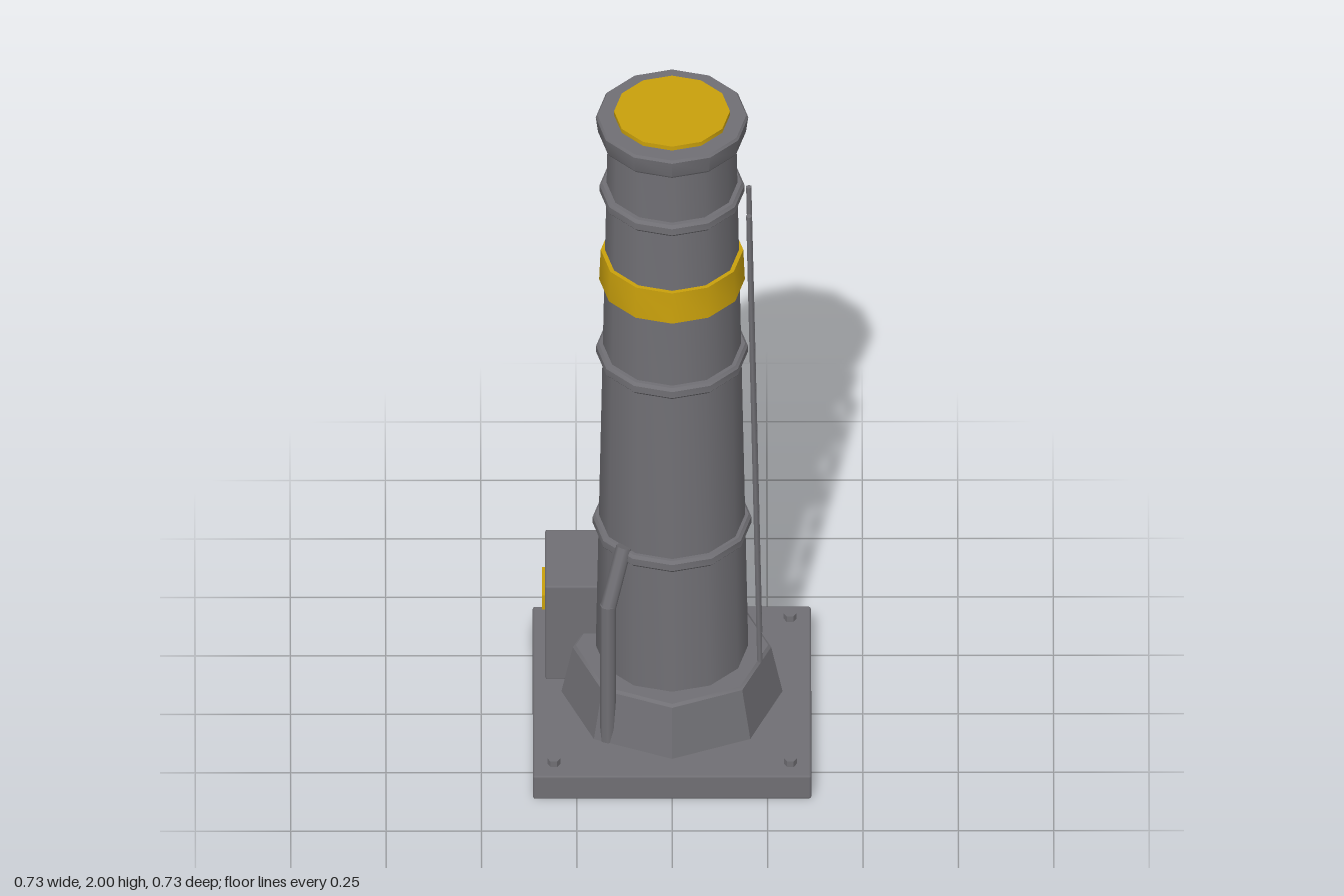
import * as THREE from 'three';
import { toCreasedNormals } from 'three/addons/utils/BufferGeometryUtils.js';
import { RoundedBoxGeometry } from 'three/addons/geometries/RoundedBoxGeometry.js';

export function createModel() {
  const model = new THREE.Group();
  model.name = 'chimneyTower';
  const steel = new THREE.MeshStandardMaterial({ name: 'steel grey', color: 0x706f74 });
  const yellow = new THREE.MeshStandardMaterial({ name: 'warning yellow', color: 0xc9a00c });

  const add = (name, geometry, material, x = 0, y = 0, z = 0, parent = model) => {
    const mesh = new THREE.Mesh(geometry, material);
    mesh.name = name;
    mesh.position.set(x, y, z);
    parent.add(mesh);
    return mesh;
  };
  // Turned solid from [radius, height] pairs; sharp edges stay sharp
  const turned = (name, profile, sides, material) => {
    const points = profile.map(([r, y]) => new THREE.Vector2(r, y));
    return add(name, toCreasedNormals(new THREE.LatheGeometry(points, sides), 0.6), material);
  };
  // Round bar between two points
  const bar = (name, a, b, radius, sides, parent) => {
    const from = new THREE.Vector3(...a), to = new THREE.Vector3(...b);
    const dir = to.clone().sub(from);
    const mesh = add(name, new THREE.CylinderGeometry(radius, radius, dir.length(), sides), steel, 0, 0, 0, parent);
    mesh.position.copy(from).add(to).multiplyScalar(0.5);
    mesh.quaternion.setFromUnitVectors(new THREE.Vector3(0, 1, 0), dir.normalize());
    return mesh;
  };

  // Base plate and anchor bolts
  add('basePlate', new RoundedBoxGeometry(0.73, 0.076, 0.73, 1, 0.006), steel, 0, 0.038, 0);
  for (const x of [-0.31, 0.31]) for (const z of [-0.31, 0.31]) {
    const bolt = add('anchorBolt', toCreasedNormals(new THREE.CylinderGeometry(0.017, 0.017, 0.022, 6), 0.6), steel, x, 0.083, z);
    bolt.rotation.y = Math.PI / 2;
  }

  // Octagonal plinth
  turned('plinth', [[0, 0.075], [0.29, 0.075], [0.26, 0.222], [0.252, 0.229], [0, 0.229]], 8, steel);

  // Tapered shaft with reinforcing rings
  turned('shaft', [[0.2, 0.22], [0.168, 1.95]], 12, steel);
  for (const [y, r] of [[0.645, 0.208], [1.212, 0.199], [1.745, 0.19]]) {
    turned('reinforcingRing', [[r - 0.03, y - 0.018], [r - 0.007, y - 0.018], [r, y - 0.01],
      [r, y + 0.01], [r - 0.007, y + 0.018], [r - 0.03, y + 0.018]], 12, steel);
  }
  turned('warningBand', [[0.16, 1.443], [0.191, 1.443], [0.187, 1.54], [0.16, 1.54]], 12, yellow);

  // Rim and cap
  turned('rim', [[0.15, 1.925], [0.189, 1.925], [0.194, 1.932], [0.2, 1.98], [0.195, 1.987], [0, 1.987]], 12, steel);
  turned('topCap', [[0.152, 1.985], [0.152, 2], [0, 2]], 12, yellow);

  // Leaning ladder on the left side
  const ladder = new THREE.Group();
  ladder.name = 'ladder';
  model.add(ladder);
  const ladderX = (y) => 0.23 - (y - 0.225) * 0.0195;
  for (const z of [-0.063, 0.063]) {
    bar('ladderRail', [ladderX(0.225), 0.225, z], [ladderX(1.7), 1.7, z], 0.008, 6, ladder);
  }
  for (let i = 0; i < 9; i++) {
    const y = 0.35 + i * 0.1575;
    bar('ladderRung', [ladderX(y), y, -0.063], [ladderX(y), y, 0.063], 0.006, 6, ladder);
  }

  // Control cabinet with a yellow label plate
  add('cabinet', new RoundedBoxGeometry(0.19, 0.308, 0.247, 1, 0.006), steel, -0.238, 0.231, -0.172);
  add('labelPlate', new THREE.BoxGeometry(0.009, 0.046, 0.122), yellow, -0.3355, 0.287, -0.169);

  // Bent conduit rising from the base into the shaft
  const conduit = new THREE.Group();
  conduit.name = 'conduit';
  model.add(conduit);
  bar('conduitRiser', [-0.168, 0.076, 0.203], [-0.168, 0.52, 0.203], 0.021, 8, conduit);
  bar('conduitElbow', [-0.168, 0.51, 0.203], [-0.126, 0.67, 0.148], 0.021, 8, conduit);

  return model;
}
